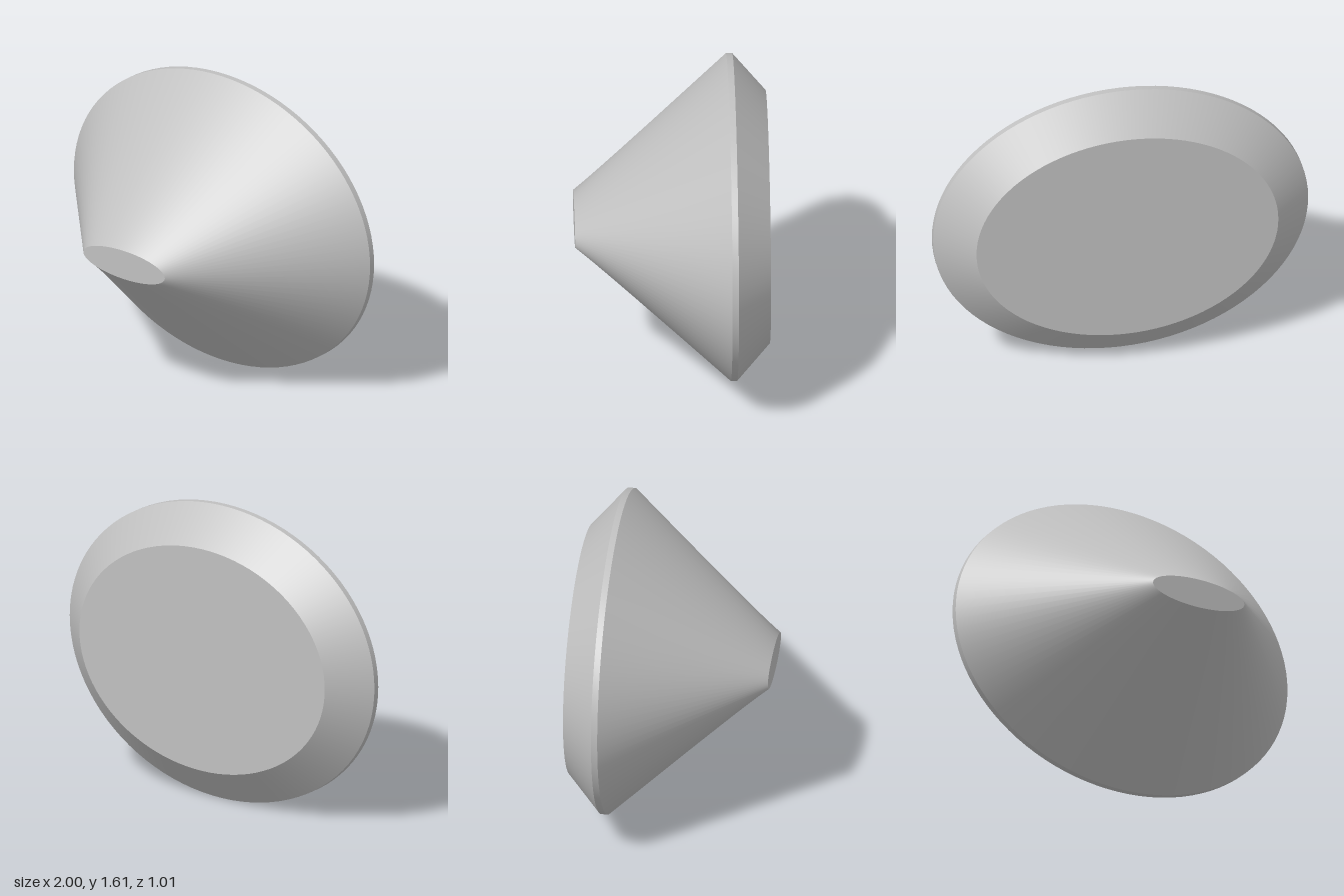
import * as THREE from 'three';

const SEGMENTS = 96;
const CENTRE_Y = 0.805;

// Elliptical cross-sections from front to back
const nose = { z: 0.505, rx: 0.275, ry: 0.08 };
const rimFront = { z: -0.3, rx: 1, ry: 0.805 };
const rimBack = { z: -0.333, rx: 1, ry: 0.805 };
const back = { z: -0.505, rx: 0.805, ry: 0.61 };

// Smooth band between two ellipses; a is in front of b
function bandGeometry(a, b) {
  const positions = [];
  const index = [];
  for (let i = 0; i < SEGMENTS; i++) {
    const t = (i / SEGMENTS) * Math.PI * 2;
    for (const e of [a, b]) positions.push(e.rx * Math.cos(t), e.ry * Math.sin(t), e.z);
    const p = i * 2;
    const q = ((i + 1) % SEGMENTS) * 2;
    index.push(p, p + 1, q, q, p + 1, q + 1);
  }
  const geometry = new THREE.BufferGeometry();
  geometry.setAttribute('position', new THREE.Float32BufferAttribute(positions, 3));
  geometry.setIndex(index);
  geometry.computeVertexNormals();
  return geometry;
}

// Flat elliptical end face
function capGeometry(e, facesBack) {
  const geometry = new THREE.CircleGeometry(1, SEGMENTS);
  if (facesBack) geometry.rotateY(Math.PI);
  return geometry.scale(e.rx, e.ry, 1).translate(0, 0, e.z);
}

export function createModel() {
  const model = new THREE.Group();
  model.name = 'taperedEllipticalBody';

  const grey = new THREE.MeshStandardMaterial({ color: 0xc0c0c0 });
  grey.name = 'grey';

  const add = (name, geometry) => {
    const mesh = new THREE.Mesh(geometry, grey);
    mesh.name = name;
    mesh.position.y = CENTRE_Y;
    model.add(mesh);
  };

  add('noseFace', capGeometry(nose, false));
  add('frontTaper', bandGeometry(nose, rimFront));
  add('rim', bandGeometry(rimFront, rimBack));
  add('backBevel', bandGeometry(rimBack, back));
  add('backFace', capGeometry(back, true));

  return model;
}
